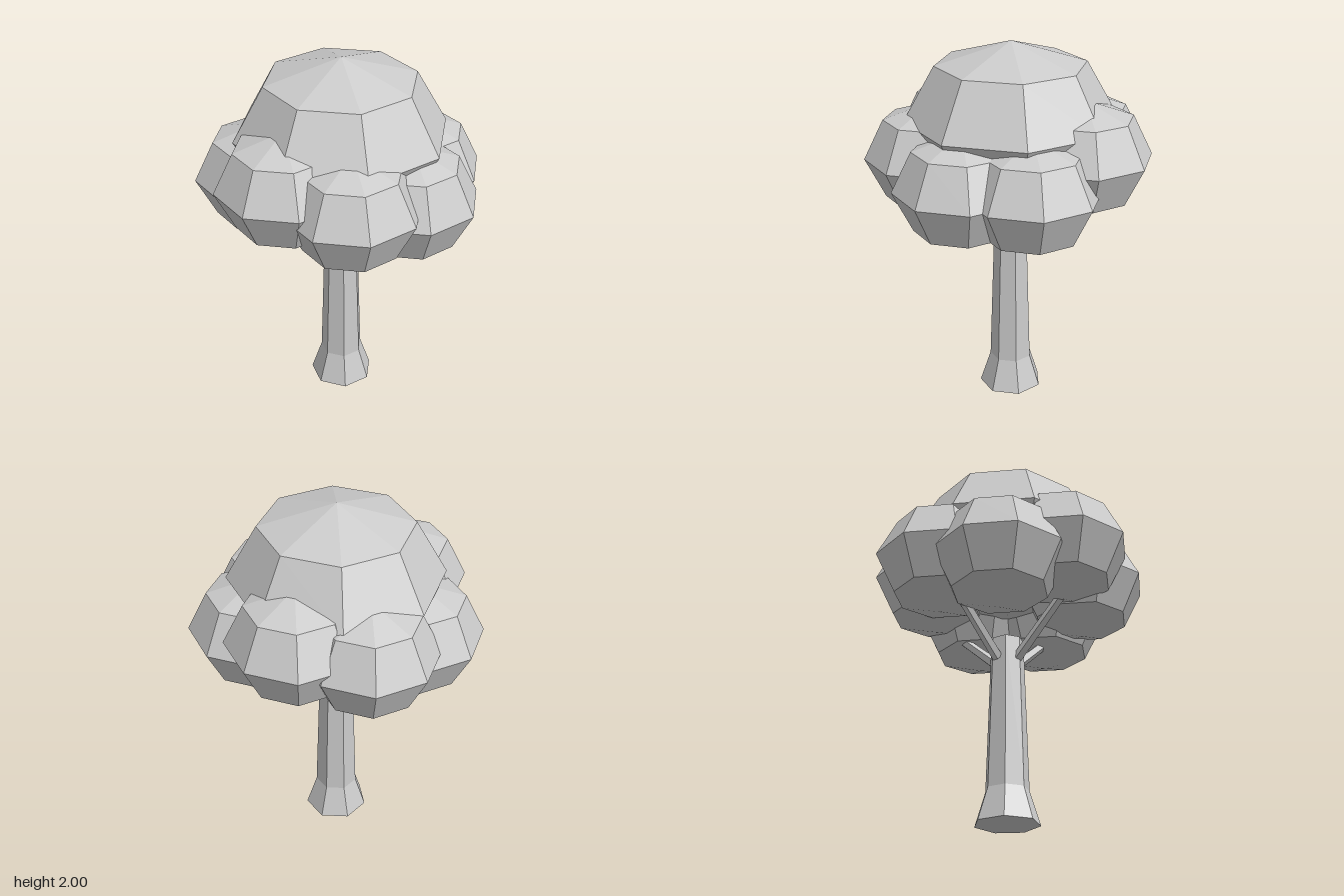
import * as THREE from 'three';

const material = new THREE.MeshStandardMaterial({ color: 0xcccccc, flatShading: true });
const CENTER_X = -0.02;

// Faceted foliage ball: 8 sides, 4 bands, squashed vertically, corners on the axes
function foliage(name, x, y, z, radius, halfHeight) {
  const mesh = new THREE.Mesh(new THREE.SphereGeometry(1, 8, 4), material);
  mesh.name = name;
  mesh.scale.set(radius, halfHeight, radius);
  mesh.position.set(x, y, z);
  return mesh;
}

// Tapered rod between two points
function rod(name, from, to, r0, r1, sides) {
  const dir = to.clone().sub(from);
  const mesh = new THREE.Mesh(new THREE.CylinderGeometry(r1, r0, dir.length(), sides), material);
  mesh.name = name;
  mesh.position.copy(from).addScaledVector(dir, 0.5);
  mesh.quaternion.setFromUnitVectors(new THREE.Vector3(0, 1, 0), dir.normalize());
  return mesh;
}

export function createModel() {
  const tree = new THREE.Group();
  tree.name = 'tree';

  // Seven-sided trunk with a flared foot, one corner toward +x
  const profile = [[0, 0], [0.175, 0], [0.117, 0.18], [0.09, 1.02], [0, 1.02]]
    .map(([r, y]) => new THREE.Vector2(r, y));
  const trunk = new THREE.Mesh(new THREE.LatheGeometry(profile, 7, Math.PI / 2), material);
  trunk.name = 'trunk';
  trunk.position.x = CENTER_X;
  tree.add(trunk);

  // Four branches, turned slightly off the axes
  const branches = new THREE.Group();
  branches.name = 'branches';
  for (let i = 0; i < 4; i++) {
    const a = 0.19 + (i * Math.PI) / 2;
    const at = (r, y) => new THREE.Vector3(CENTER_X + r * Math.cos(a), y, r * Math.sin(a));
    branches.add(rod('branch', at(0.075, 0.9), at(0.42, 1.2), 0.03, 0.025, 5));
  }
  tree.add(branches);

  // Large crown surrounded by a ring of smaller clumps
  tree.add(foliage('crown', CENTER_X, 1.59, 0, 0.565, 0.41));
  const clumps = new THREE.Group();
  clumps.name = 'leafClumps';
  [
    [0.39, 1.315, 0],
    [0.24, 1.38, 0.325],
    [-0.11, 1.435, 0.395],
    [-0.4, 1.315, 0.18],
    [-0.4, 1.38, -0.18],
    [-0.11, 1.435, -0.4],
    [0.24, 1.315, -0.325],
  ].forEach(([x, y, z]) => clumps.add(foliage('leafClump', x, y, z, 0.365 - 0.005, 0.3)));
  tree.add(clumps);

  return tree;
}
